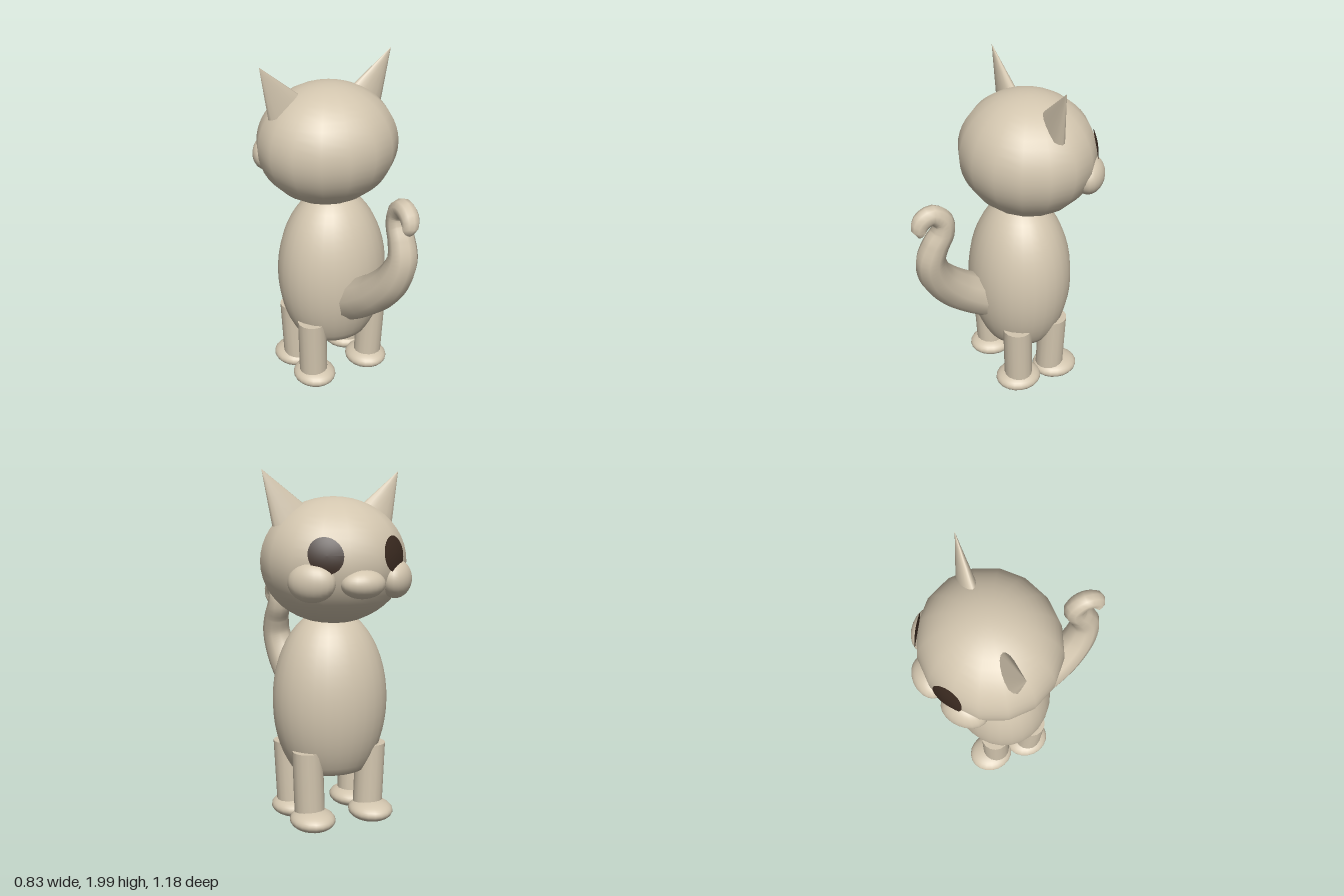
import * as THREE from 'three';

const fur = new THREE.MeshStandardMaterial({ color: 0xd3c6af });
fur.name = 'beige fur';
const dark = new THREE.MeshStandardMaterial({ color: 0x3a2a20 });
dark.name = 'dark brown eye';

const HEAD = { pos: [0, 1.51, -0.147], size: [0.413, 0.35, 0.384] };

export function createModel() {
  const cat = new THREE.Group();
  cat.name = 'cat';

  const add = (name, geometry, material = fur) => {
    const mesh = new THREE.Mesh(geometry, material);
    mesh.name = name;
    cat.add(mesh);
    return mesh;
  };
  const ellipsoid = (name, pos, size, yaw = 0, sides = 20) => {
    const mesh = add(name, new THREE.SphereGeometry(1, sides, 20));
    mesh.position.set(...pos);
    mesh.scale.set(...size);
    mesh.rotation.y = yaw;
    return mesh;
  };

  // Head, with a flat facet towards the front and back
  const headGeometry = new THREE.SphereGeometry(1, 16, 24).rotateY(Math.PI / 16);
  const head = add('head', headGeometry);
  head.position.set(...HEAD.pos);
  head.scale.set(...HEAD.size);

  // Egg-shaped body with a flat underside
  const profile = [new THREE.Vector2(0, -0.75)];
  for (let i = 0; i <= 20; i++) {
    const a = THREE.MathUtils.lerp(Math.asin(-0.75), Math.PI / 2, i / 20);
    profile.push(new THREE.Vector2(Math.max(0, Math.cos(a)), Math.sin(a)));
  }
  const body = add('body', new THREE.LatheGeometry(profile, 28));
  body.position.set(0, 0.71, -0.107);
  body.scale.set(0.335, 0.53, 0.302);

  ellipsoid('nose', [0, 1.41, -0.5], [0.125, 0.077, 0.09]);

  for (const s of [-1, 1]) {
    const side = s > 0 ? 'left' : 'right';

    // Cheek, wide along the surface of the head
    ellipsoid(side + 'Cheek', [s * 0.25, 1.42, -0.405], [0.13, 0.105, 0.085], s * -0.75);

    // Eye: a thin disc laid onto the head
    const eye = new THREE.RingGeometry(0.001, 1, 28, 6);
    const p = eye.attributes.position;
    for (let i = 0; i < p.count; i++) {
      const x = s * 0.2 - 0.082 * p.getX(i);
      const y = 1.56 + 0.095 * p.getY(i);
      const h = 1 - (x / HEAD.size[0]) ** 2 - ((y - HEAD.pos[1]) / HEAD.size[1]) ** 2;
      p.setXYZ(i, x, y, HEAD.pos[2] - HEAD.size[2] * Math.sqrt(h) - 0.004);
    }
    eye.computeVertexNormals();
    add(side + 'Eye', eye, dark);

    // Ear: a flattened cone leaning outwards
    const ear = new THREE.ConeGeometry(1, 1, 16, 4).translate(0, 0.5, 0);
    const basis = new THREE.Matrix4().makeBasis(
      new THREE.Vector3(0.122, s * -0.037, 0),
      new THREE.Vector3(s * 0.173, 0.263, 0.02),
      new THREE.Vector3(0, 0, 0.049)
    ).setPosition(s * 0.242, 1.737, -0.155);
    add(side + 'Ear', ear.applyMatrix4(basis));

    // Legs and paws; the hind pair leans slightly
    for (const [end, topX, topZ, x, z, pawX, pawZ] of [
      ['Front', 0.2, -0.235, 0.185, -0.232, 0.185, -0.27],
      ['Hind', 0.212, 0.012, 0.198, -0.006, 0.19, -0.01]
    ]) {
      const leg = new THREE.CylinderGeometry(0.086, 0.086, 1, 16).translate(0, 0.5, 0);
      const shear = new THREE.Matrix4().makeBasis(
        new THREE.Vector3(1, 0, 0),
        new THREE.Vector3(s * (topX - x), 0.39, topZ - z),
        new THREE.Vector3(0, 0, 1)
      ).setPosition(s * x, 0.07, z);
      add(side + end + 'Leg', leg.applyMatrix4(shear));
      ellipsoid(side + end + 'Paw', [s * pawX, 0.066, pawZ], [0.127, 0.06, 0.141]);
    }
  }

  // Tail: a tapering tube that rises and curls at the tip (x, y, z, radius)
  const path = [
    [0, 0.59, 0.085, 0.13], [0.012, 0.67, 0.22, 0.124], [0.03, 0.76, 0.34, 0.115],
    [0.06, 0.89, 0.45, 0.1], [0.085, 1.02, 0.49, 0.085], [0.095, 1.12, 0.462, 0.076],
    [0.1, 1.2, 0.418, 0.068], [0.1, 1.265, 0.415, 0.06], [0.095, 1.312, 0.47, 0.056],
    [0.09, 1.285, 0.53, 0.053], [0.085, 1.235, 0.545, 0.046], [0.08, 1.208, 0.515, 0.036]
  ];
  const curve = new THREE.CatmullRomCurve3(path.map(([x, y, z]) => new THREE.Vector3(x, y, z)));
  const rings = 48, sides = 10;
  const tail = new THREE.TubeGeometry(curve, rings, 1, sides);
  const p = tail.attributes.position;
  const v = new THREE.Vector3();
  for (let i = 0; i <= rings; i++) {
    const centre = curve.getPointAt(i / rings);
    const k = curve.getUtoTmapping(i / rings) * (path.length - 1);
    const a = Math.min(Math.floor(k), path.length - 2);
    const radius = THREE.MathUtils.lerp(path[a][3], path[a + 1][3], k - a);
    // End rings shrink to a point to close the tube
    const closed = i === 0 || i === rings;
    const target = i === 0 ? curve.getPointAt(1 / rings) : centre;
    for (let j = 0; j <= sides; j++) {
      const n = i * (sides + 1) + j;
      v.fromBufferAttribute(p, n).sub(centre).multiplyScalar(closed ? 0 : radius).add(target);
      p.setXYZ(n, v.x, v.y, v.z);
    }
  }
  add('tail', tail);

  return cat;
}
